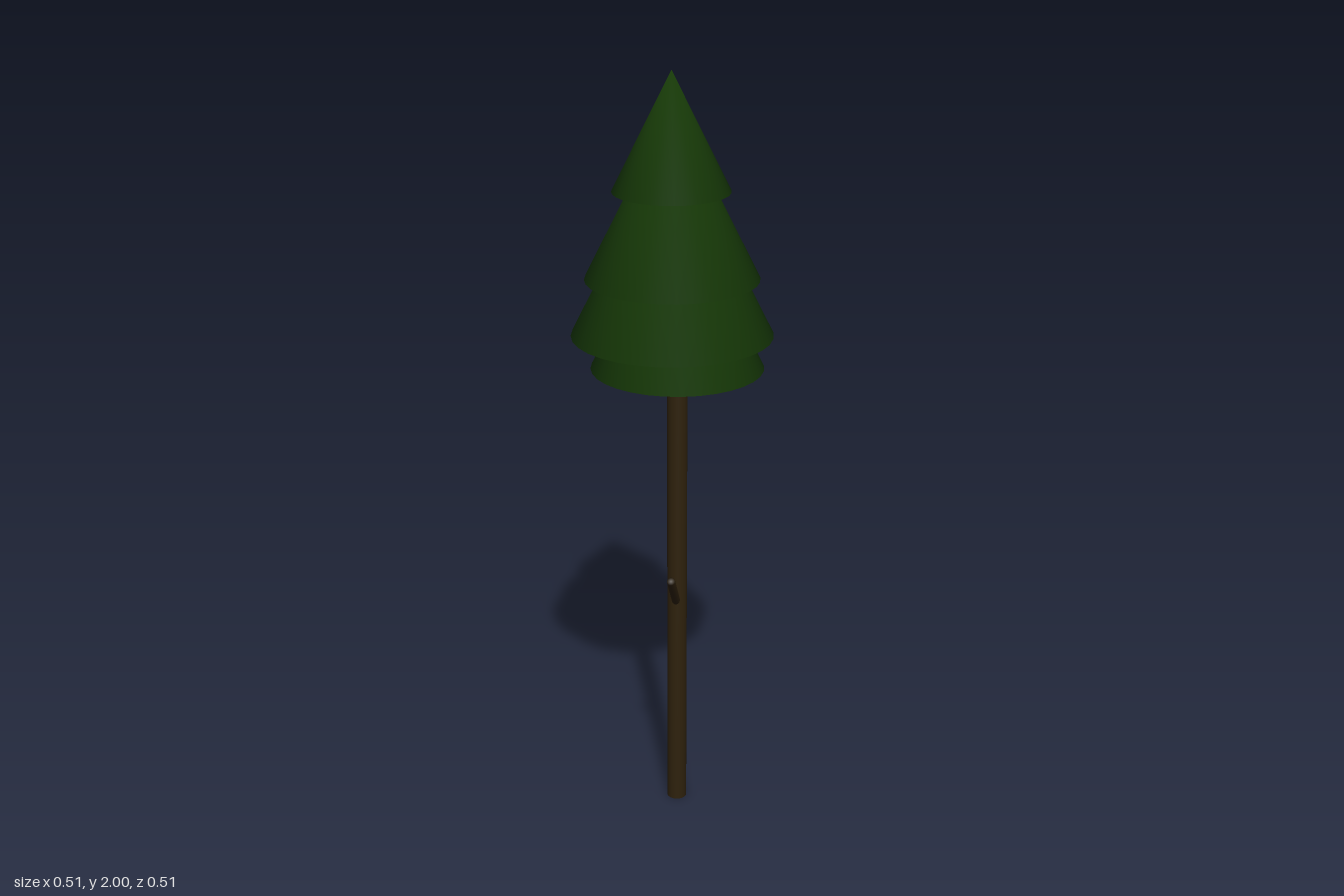
import * as THREE from 'three';
import { mergeVertices } from 'three/addons/utils/BufferGeometryUtils.js';

export function createModel() {
  const tree = new THREE.Group();
  tree.name = 'pineTree';

  const bark = new THREE.MeshStandardMaterial({ color: 0x2e210c });
  const needles = new THREE.MeshStandardMaterial({ color: 0x183c08 });

  // The trunk stands slightly off the axis of the upper foliage
  const trunkX = 0.014, trunkZ = 0.007;

  // Weld sides and caps so the shading rolls softly over every rim
  function soften(geometry) {
    geometry.deleteAttribute('normal');
    geometry.deleteAttribute('uv');
    const welded = mergeVertices(geometry);
    welded.computeVertexNormals();
    return welded;
  }

  // Straight cylinder between two points
  function rod(name, from, to, radius) {
    const dir = to.clone().sub(from);
    const mesh = new THREE.Mesh(soften(new THREE.CylinderGeometry(radius, radius, dir.length(), 32)), bark);
    mesh.name = name;
    mesh.position.copy(from).add(to).multiplyScalar(0.5);
    mesh.quaternion.setFromUnitVectors(new THREE.Vector3(0, 1, 0), dir.normalize());
    tree.add(mesh);
  }

  rod('trunk', new THREE.Vector3(trunkX, 0, trunkZ), new THREE.Vector3(trunkX, 1.4, trunkZ), 0.026);
  rod('branchStub', new THREE.Vector3(trunkX, 0.59, 0.008), new THREE.Vector3(trunkX, 0.708, 0.115), 0.011);

  // Overlapping solid foliage cones, all with the same slope: [radius, base height, x, z]
  const tiers = [
    [0.219, 1.257, trunkX, trunkZ],
    [0.255, 1.341, 0, 0],
    [0.219, 1.486, 0, 0],
    [0.147, 1.706, -0.002, 0],
  ];
  tiers.forEach(([radius, base, x, z], i) => {
    const height = radius * 2;
    const cone = new THREE.Mesh(soften(new THREE.ConeGeometry(radius, height, 32)), needles);
    cone.name = `foliageTier${i + 1}`;
    cone.position.set(x, base + height / 2, z);
    tree.add(cone);
  });

  return tree;
}
